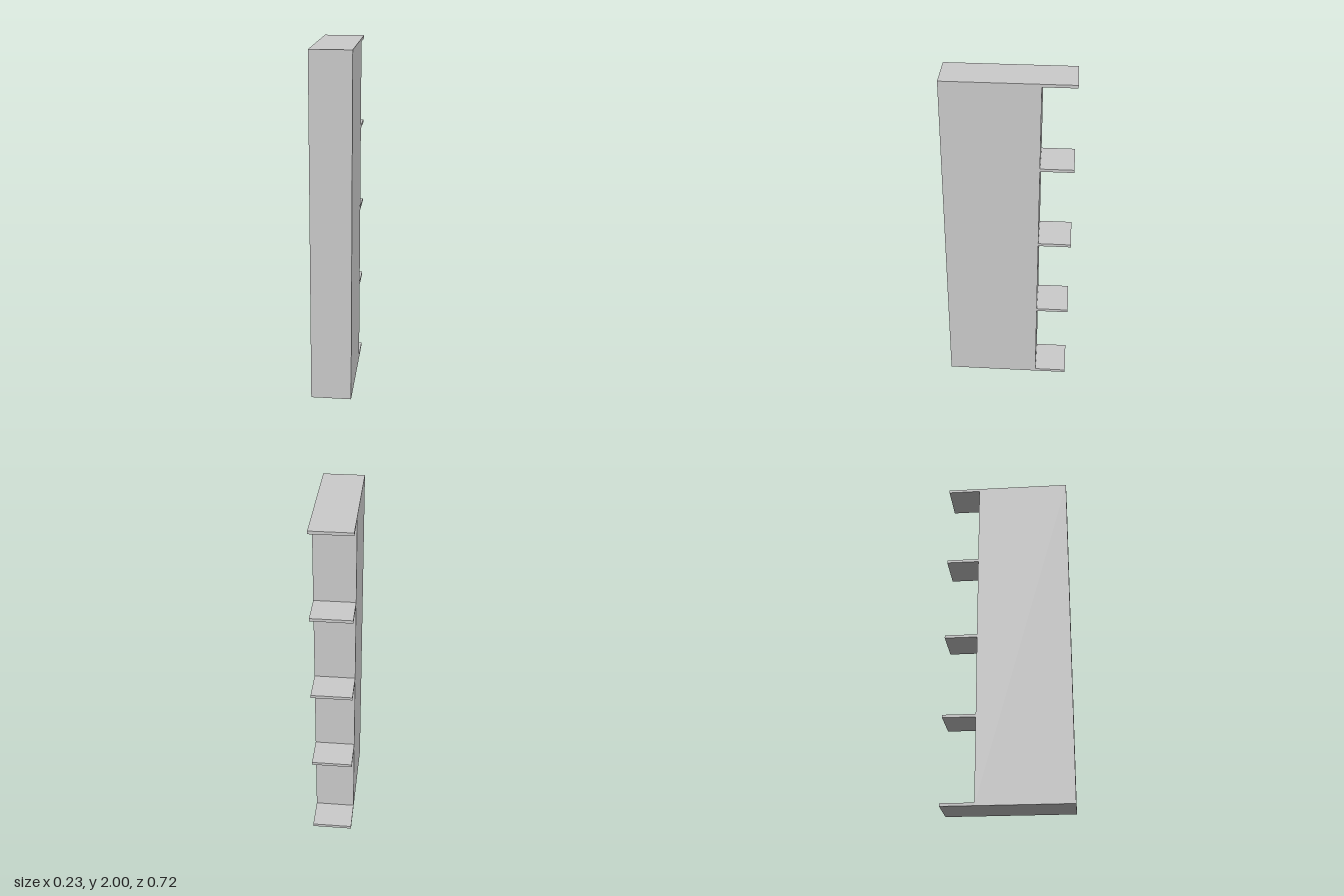
import * as THREE from 'three';

const WIDTH = 0.232, HEIGHT = 2, FRONT = 0.362, BACK = -0.362, BODY_BACK = -0.175;
const SHELF = 0.017; // shelf thickness

export function createModel() {
  const group = new THREE.Group();
  const material = new THREE.MeshStandardMaterial({ color: 0xcccccc });

  // Box spanning the full width between two heights and two depths
  const addBox = (name, y0, y1, z0, z1) => {
    const mesh = new THREE.Mesh(new THREE.BoxGeometry(WIDTH, y1 - y0, z1 - z0), material);
    mesh.name = name;
    mesh.position.set(0, (y0 + y1) / 2, (z0 + z1) / 2);
    group.add(mesh);
  };

  // Tall solid cabinet body
  addBox('cabinetBody', 0, HEIGHT, BODY_BACK, FRONT);

  // Open shelves projecting from the back, given by their top heights
  [SHELF, 0.514, 1.0, 1.498, HEIGHT].forEach((top, i) =>
    addBox(`shelf${i + 1}`, top - SHELF, top, BACK, BODY_BACK));

  return group;
}
